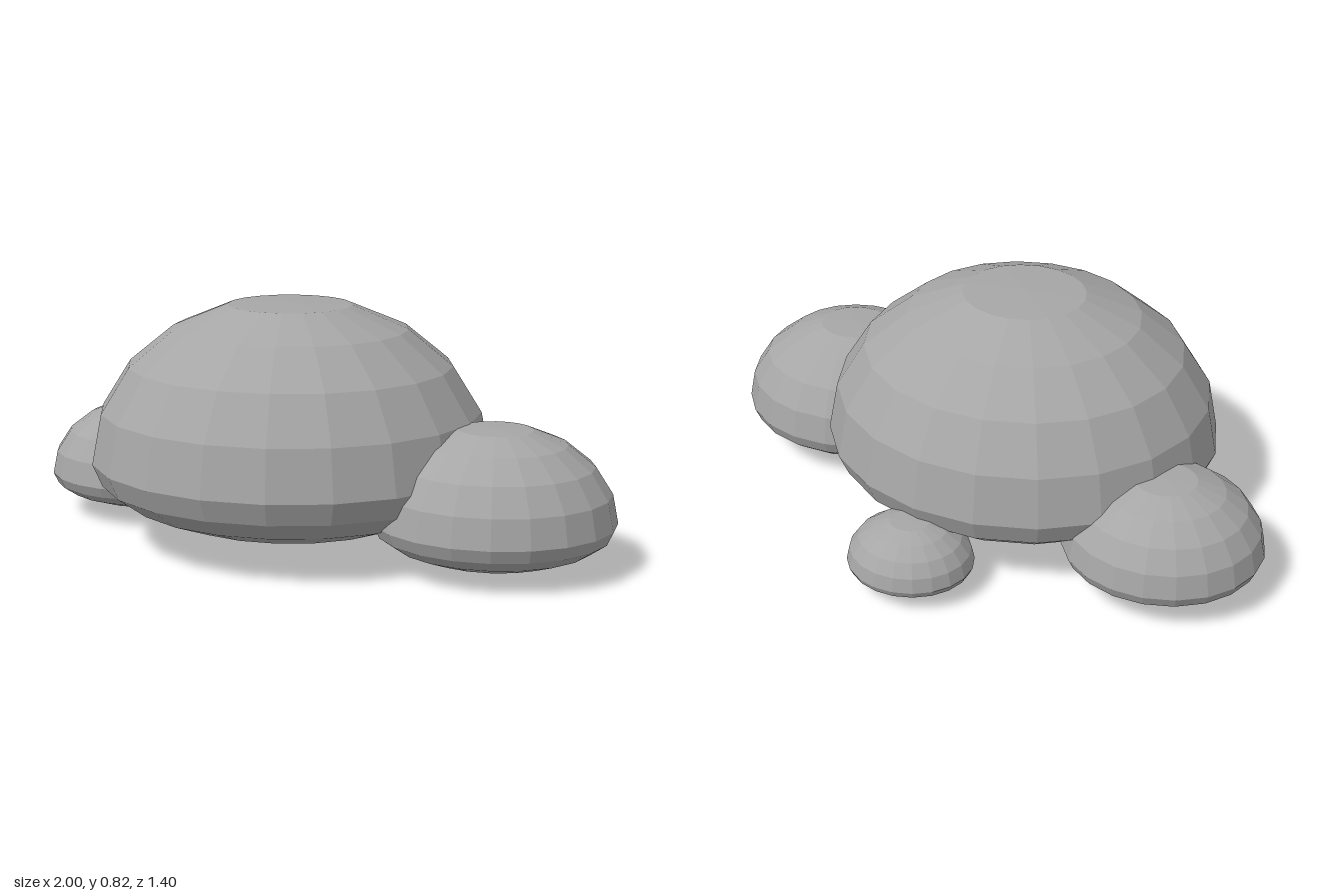
import * as THREE from 'three';

const stone = new THREE.MeshStandardMaterial({ color: 0xa6a6a6 });
stone.name = 'stone grey';

// Faceted boulder: tall dome above the widest ring, shallow belly below it.
// Its origin is at the lowest point; at scale 1 it is 1.35 wide and 0.81 tall.
function boulderGeometry() {
  const sphere = new THREE.SphereGeometry(1, 20, 10);
  const p = sphere.attributes.position;
  for (let i = 0; i < p.count; i++) {
    const y = p.getY(i);
    let h = y > 0 ? y * 0.55 : y * 0.247;
    if (y > 0.99) h -= 0.02; // flattened crown
    if (y < -0.99) h -= 0.03; // slightly pointed underside
    p.setXYZ(i, p.getX(i) * 0.675, h + 0.277, p.getZ(i) * 0.62);
  }
  // Separate faces keep the facets flat
  const flat = sphere.toNonIndexed();
  flat.computeVertexNormals();
  return flat;
}

export function createModel() {
  const group = new THREE.Group();
  group.name = 'boulderCluster';
  const geometry = boulderGeometry();

  // name, position, scale
  const boulders = [
    ['mainBoulder', [-0.093, 0.018, 0.08], [1, 1, 1]],
    ['frontLeftBoulder', [0.6, 0.003, 0.32], [0.593, 0.577, 0.58]],
    ['backRightBoulder', [-0.662, 0.018, -0.262], [0.5, 0.47, 0.51]],
    ['backPebble', [0.13, 0.015, -0.508], [0.315, 0.287, 0.312]],
  ];
  for (const [name, position, scale] of boulders) {
    const mesh = new THREE.Mesh(geometry, stone);
    mesh.name = name;
    mesh.position.set(...position);
    mesh.scale.set(...scale);
    group.add(mesh);
  }
  return group;
}
